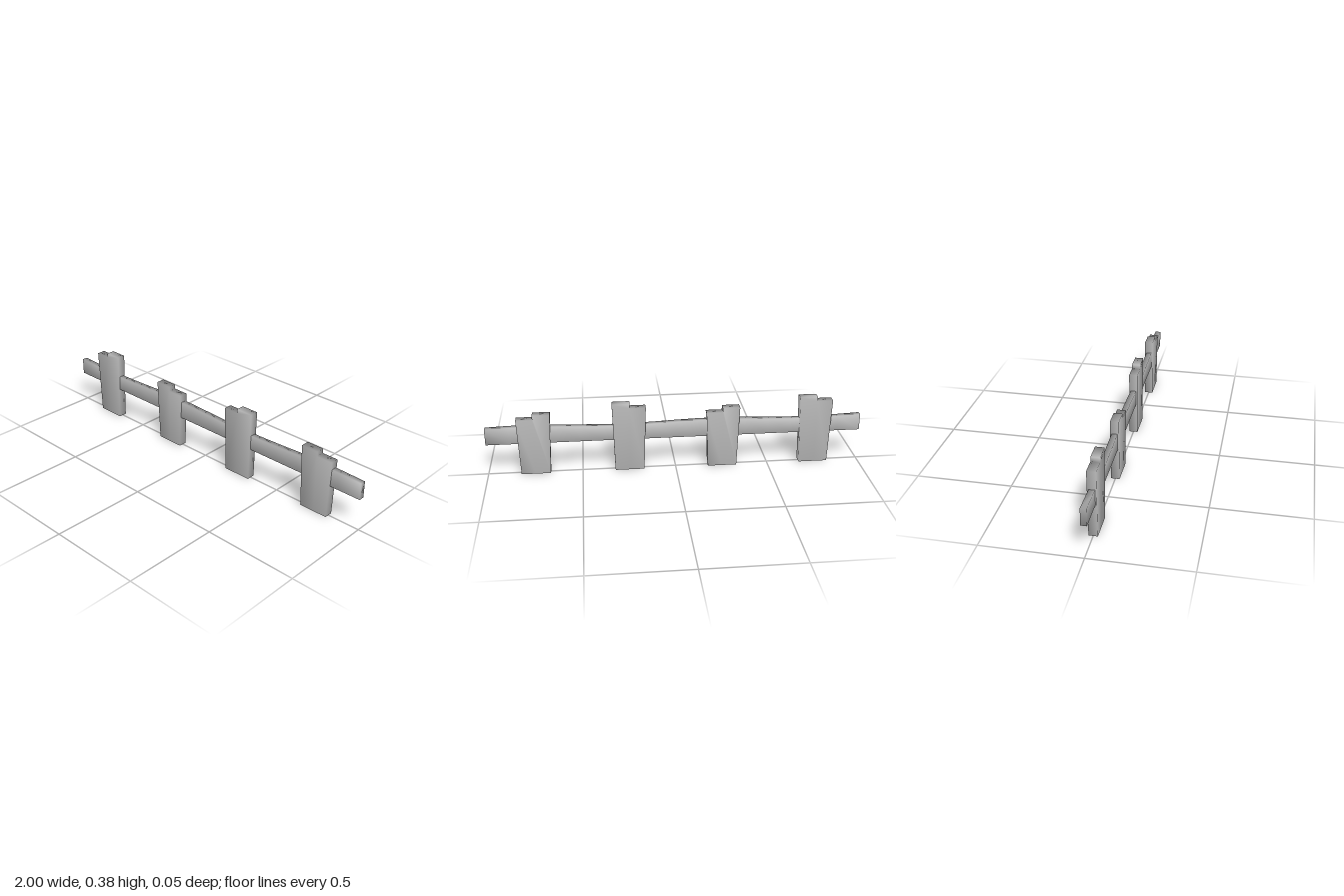
import * as THREE from 'three';

// Indexed solid with shared vertices, so shading is smooth across its edges
function solid(points, index, material, name) {
  const g = new THREE.BufferGeometry();
  g.setAttribute('position', new THREE.Float32BufferAttribute(points.flat(), 3));
  g.setIndex(index);
  g.computeVertexNormals();
  const mesh = new THREE.Mesh(g, material);
  mesh.name = name;
  return mesh;
}

// Tapered post whose two halves stop at different heights
function post(x, leftTop, rightTop, step, material) {
  const d = 0.0225;
  const profile = [
    [-0.08, 0], [step, 0], [0.075, 0],
    [0.086, rightTop], [step, rightTop], [step, leftTop], [-0.092, leftTop],
  ];
  const n = profile.length;
  const points = [d, -d].flatMap((z) => profile.map(([px, py]) => [x + px, py, z]));
  const face = rightTop > leftTop
    ? [[0, 1, 5], [0, 5, 6], [1, 2, 5], [2, 3, 5], [3, 4, 5]]
    : [[0, 1, 4], [0, 4, 5], [0, 5, 6], [1, 2, 3], [1, 3, 4]];
  const index = [];
  for (const [a, b, c] of face) index.push(a, b, c, a + n, c + n, b + n);
  for (let i = 0; i < n; i++) {
    const j = (i + 1) % n;
    index.push(i, i + n, j, j, i + n, j + n);
  }
  return solid(points, index, material, 'post');
}

// Long rail with a gently wavy top edge
function rail(material) {
  const segments = 16, d = 0.015, points = [], index = [];
  for (let i = 0; i <= segments; i++) {
    const x = -1 + (2 * i) / segments;
    const top = 0.2625 + 0.007 * Math.cos(2 * Math.PI * (x + 0.2));
    points.push([x, 0.176, d], [x, top, d], [x, top, -d], [x, 0.176, -d]);
  }
  for (let i = 0; i < segments; i++) {
    for (let k = 0; k < 4; k++) {
      const a = i * 4 + k, b = i * 4 + ((k + 1) % 4);
      index.push(a, a + 4, b, b, a + 4, b + 4);
    }
  }
  const e = segments * 4;
  index.push(0, 1, 2, 0, 2, 3, e, e + 2, e + 1, e, e + 3, e + 2);
  return solid(points, index, material, 'rail');
}

export function createModel() {
  const group = new THREE.Group();
  group.name = 'fence';
  const grey = new THREE.MeshStandardMaterial({ color: 0xb8b8b8 });
  grey.name = 'grey';
  group.add(rail(grey));
  // Two post designs alternate along the rail
  for (const shift of [0, 1]) {
    group.add(post(-0.75 + shift, 0.355, 0.379, -0.008, grey));
    group.add(post(-0.25 + shift, 0.336, 0.311, 0, grey));
  }
  return group;
}
